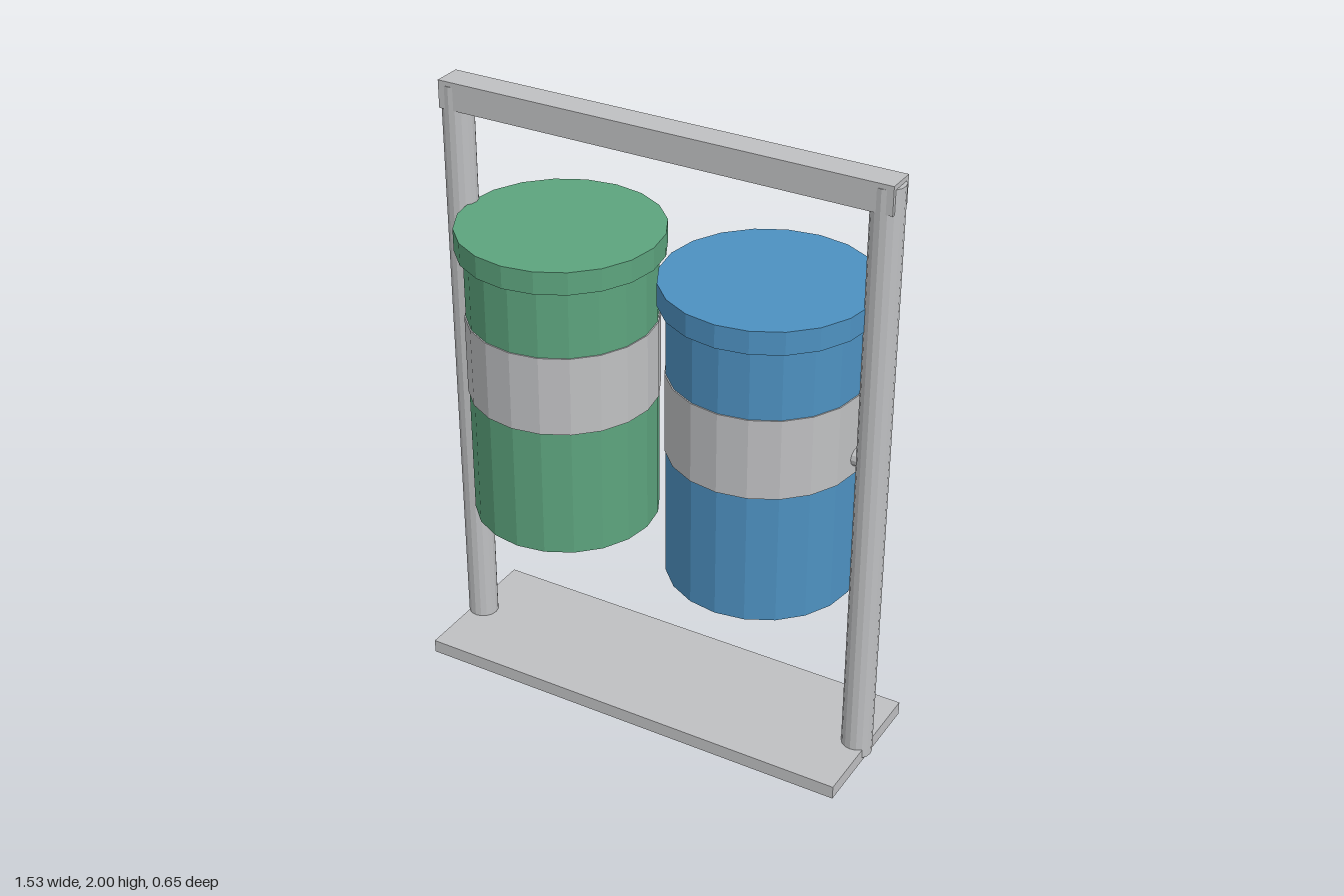
import * as THREE from 'three';

export function createModel() {
  const model = new THREE.Group();
  model.name = 'twinLitterBin';

  const paint = (name, color) => {
    const m = new THREE.MeshStandardMaterial({ color, flatShading: true });
    m.name = name;
    return m;
  };
  const grey = paint('galvanised grey', 0xbfc0c2);
  const green = paint('bin green', 0x5da47e);
  const blue = paint('bin blue', 0x4d91c1);

  const add = (parent, name, geometry, material, x, y, z = 0) => {
    const mesh = new THREE.Mesh(geometry, material);
    mesh.name = name;
    mesh.position.set(x, y, z);
    parent.add(mesh);
    return mesh;
  };
  // Upright cylinder between two heights
  const drum = (parent, name, radius, y0, y1, sides, material, x = 0) =>
    add(parent, name, new THREE.CylinderGeometry(radius, radius, y1 - y0, sides), material, x, (y0 + y1) / 2);

  // Frame: base plate and top beam
  add(model, 'basePlate', new THREE.BoxGeometry(1.5, 0.045, 0.485), grey, 0, 0.0225);
  add(model, 'topBeam', new THREE.BoxGeometry(1.5, 0.09, 0.094), grey, 0, 1.955);

  for (const [side, label, color] of [[-1, 'right', green], [1, 'left', blue]]) {
    // Round post standing at the end of the frame
    drum(model, label + 'Post', 0.05, 0.012, 1.985, 16, grey, side * 0.714);

    // Hanging bin: body, grey band and overhanging lid
    const bin = new THREE.Group();
    bin.name = label + 'Bin';
    bin.position.x = side * 0.356;
    model.add(bin);
    drum(bin, 'body', 0.3, 0.602, 1.56, 20, color);
    drum(bin, 'band', 0.304, 1.036, 1.3, 20, grey);
    drum(bin, 'lid', 0.326, 1.526, 1.6, 20, color);

    // Pivot joining the bin to its post
    const pivot = add(model, label + 'Pivot', new THREE.CylinderGeometry(0.03, 0.03, 0.07, 12), grey, side * 0.67, 1.092);
    pivot.rotation.z = Math.PI / 2;
  }
  return model;
}
